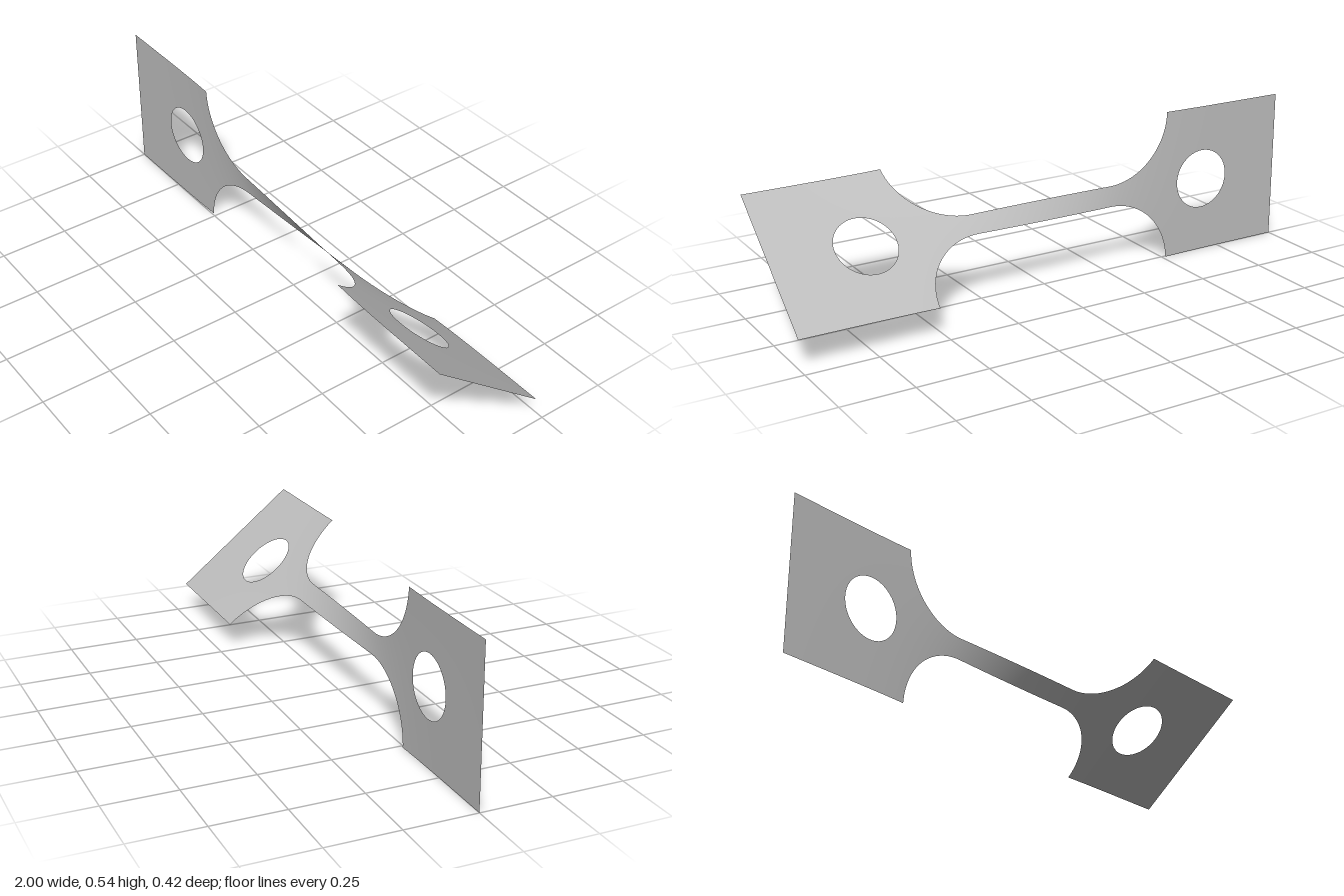
import * as THREE from 'three';

const MID_Y = 0.272, HALF = 0.272;           // plate half height
const HOLE_X = 0.669, HOLE_R = 0.108;
const ARC_X = 0.27, ARC_V = 0.28, ARC_R = 0.2434; // fillet circle
const NECK = ARC_V - ARC_R;
const SHOULDER = ARC_X + Math.sqrt(ARC_R ** 2 - (ARC_V - HALF) ** 2);

// Twist in degrees: steady along the neck, fading out into the plates
function twist(x) {
  const a = Math.abs(x);
  const t = a < 0.28 ? 62.5 * a : 17.5 + 8.1 * (1 - Math.exp(-7.7 * (a - 0.28)));
  return THREE.MathUtils.degToRad(25.6 + Math.sign(x) * t);
}

// Sheet between two outlines lo(x) and hi(x), turned about the x axis
function sheet(xs, lo, hi, rows) {
  const pos = [], nor = [], index = [];
  xs.forEach((x, i) => {
    const a = twist(x), rate = (twist(x + 1e-3) - twist(x - 1e-3)) / 2e-3;
    for (let j = 0; j <= rows; j++) {
      const v = THREE.MathUtils.lerp(lo(x), hi(x), j / rows);
      pos.push(x, MID_Y + v * Math.cos(a), v * Math.sin(a));
      const n = new THREE.Vector3(-v * rate, -Math.sin(a), Math.cos(a)).normalize();
      nor.push(n.x, n.y, n.z);
      if (i && j) {
        const d = i * (rows + 1) + j, c = d - 1, b = d - rows - 1, e = b - 1;
        index.push(e, c, d, e, d, b);
      }
    }
  });
  const g = new THREE.BufferGeometry();
  g.setAttribute('position', new THREE.Float32BufferAttribute(pos, 3));
  g.setAttribute('normal', new THREE.Float32BufferAttribute(nor, 3));
  g.setIndex(index);
  return g;
}

const steps = (n, f) => Array.from({ length: n + 1 }, (_, i) => f(i / n));

export function createModel() {
  const model = new THREE.Group();
  model.name = 'twistedSpecimen';
  const metal = new THREE.MeshStandardMaterial({ color: 0xbfbfbf, side: THREE.DoubleSide });
  metal.name = 'grey metal';

  const add = (parent, name, xs, lo, hi, rows) => {
    const mesh = new THREE.Mesh(sheet(xs, lo, hi, rows), metal);
    mesh.name = name;
    parent.add(mesh);
  };
  const flat = () => HALF;
  const fillet = x => ARC_V - Math.sqrt(Math.max(0, ARC_R ** 2 - (Math.abs(x) - ARC_X) ** 2));

  // Narrow neck
  add(model, 'neck', steps(40, t => (2 * t - 1) * ARC_X), () => -NECK, () => NECK, 4);

  for (const [side, s] of [['right', -1], ['left', 1]]) {
    const end = new THREE.Group();
    end.name = side + 'End';
    model.add(end);
    const ordered = list => list.map(x => s * x).sort((a, b) => a - b);

    // Curved shoulder between neck and plate
    const sweep = Math.asin((SHOULDER - ARC_X) / ARC_R);
    add(end, side + 'Shoulder', ordered(steps(28, t => ARC_X + ARC_R * Math.sin(t * sweep))),
      x => -fillet(x), fillet, 8);

    // Plate on either side of the hole
    const inner = HOLE_X - HOLE_R, outer = HOLE_X + HOLE_R;
    add(end, side + 'PlateInner', ordered(steps(4, t => SHOULDER + t * (inner - SHOULDER))), () => -HALF, flat, 8);
    add(end, side + 'PlateOuter', ordered(steps(8, t => outer + t * (1 - outer))), () => -HALF, flat, 8);

    // Plate above and below the round hole
    const rim = x => Math.sqrt(Math.max(0, HOLE_R ** 2 - (Math.abs(x) - HOLE_X) ** 2));
    const around = ordered(steps(32, t => HOLE_X - HOLE_R * Math.cos(t * Math.PI)));
    add(end, side + 'PlateUpper', around, rim, flat, 4);
    add(end, side + 'PlateLower', around, () => -HALF, x => -rim(x), 4);
  }
  return model;
}
